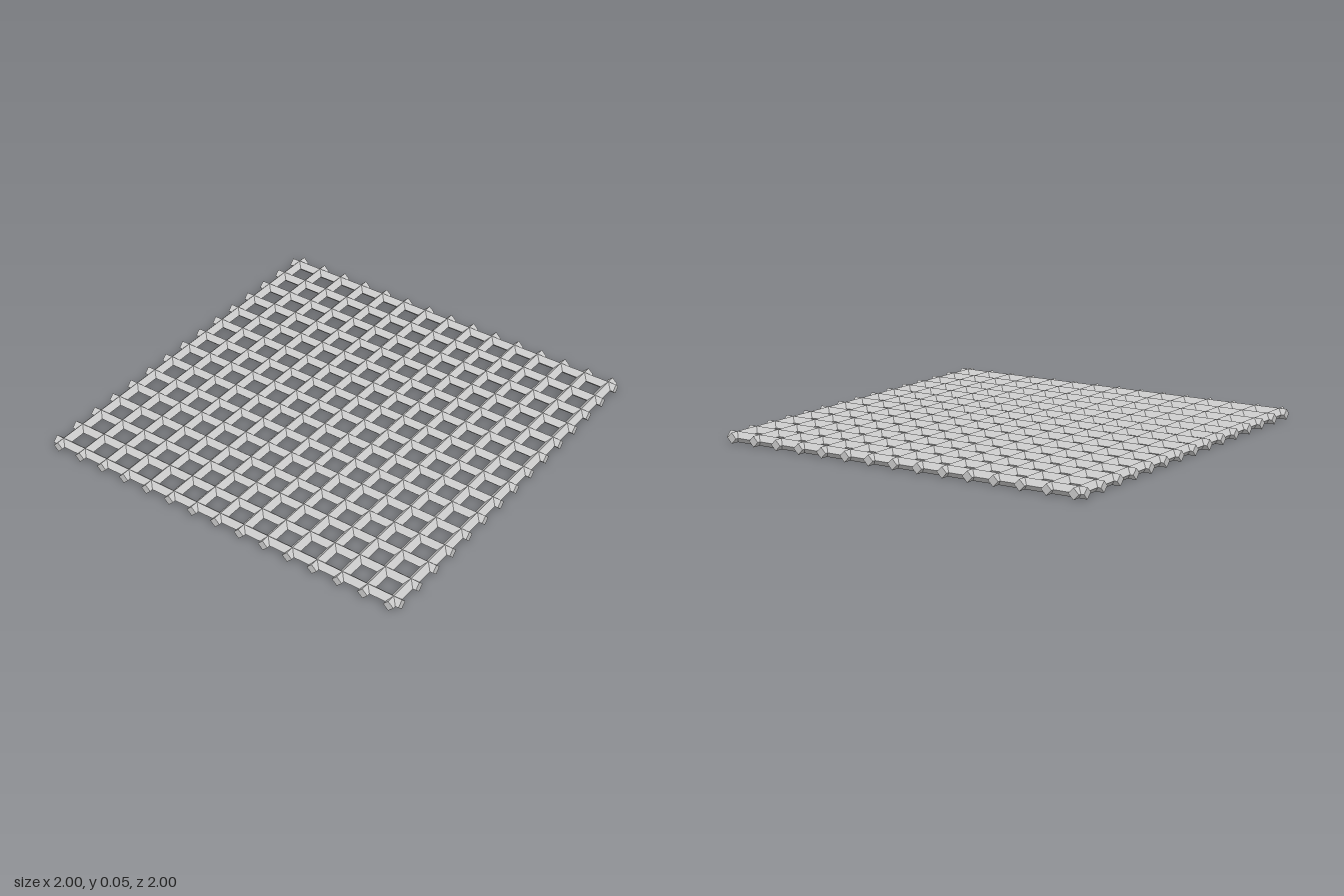
import * as THREE from 'three';

const COUNT = 15; // bars in each direction
const SPACING = 0.1367;
const RADIUS = 0.027;
const LENGTH = 2;

export function createModel() {
  const grate = new THREE.Group();
  grate.name = 'grate';
  const material = new THREE.MeshStandardMaterial({ color: 0xcccccc, flatShading: true });

  // Square bar standing on its edge, with capped ends
  const alongZ = new THREE.CylinderGeometry(RADIUS, RADIUS, LENGTH, 4).rotateX(Math.PI / 2);
  const alongX = alongZ.clone().rotateY(Math.PI / 2);

  const lengthwiseBars = new THREE.Group();
  lengthwiseBars.name = 'lengthwiseBars';
  const crossBars = new THREE.Group();
  crossBars.name = 'crossBars';

  // Both sets lie at the same height and pass through each other
  for (let i = 0; i < COUNT; i++) {
    const offset = (i - (COUNT - 1) / 2) * SPACING;

    const lengthwise = new THREE.Mesh(alongZ, material);
    lengthwise.name = 'lengthwiseBar';
    lengthwise.position.set(offset, RADIUS, 0);
    lengthwiseBars.add(lengthwise);

    const cross = new THREE.Mesh(alongX, material);
    cross.name = 'crossBar';
    cross.position.set(0, RADIUS, offset);
    crossBars.add(cross);
  }

  grate.add(lengthwiseBars, crossBars);
  return grate;
}
